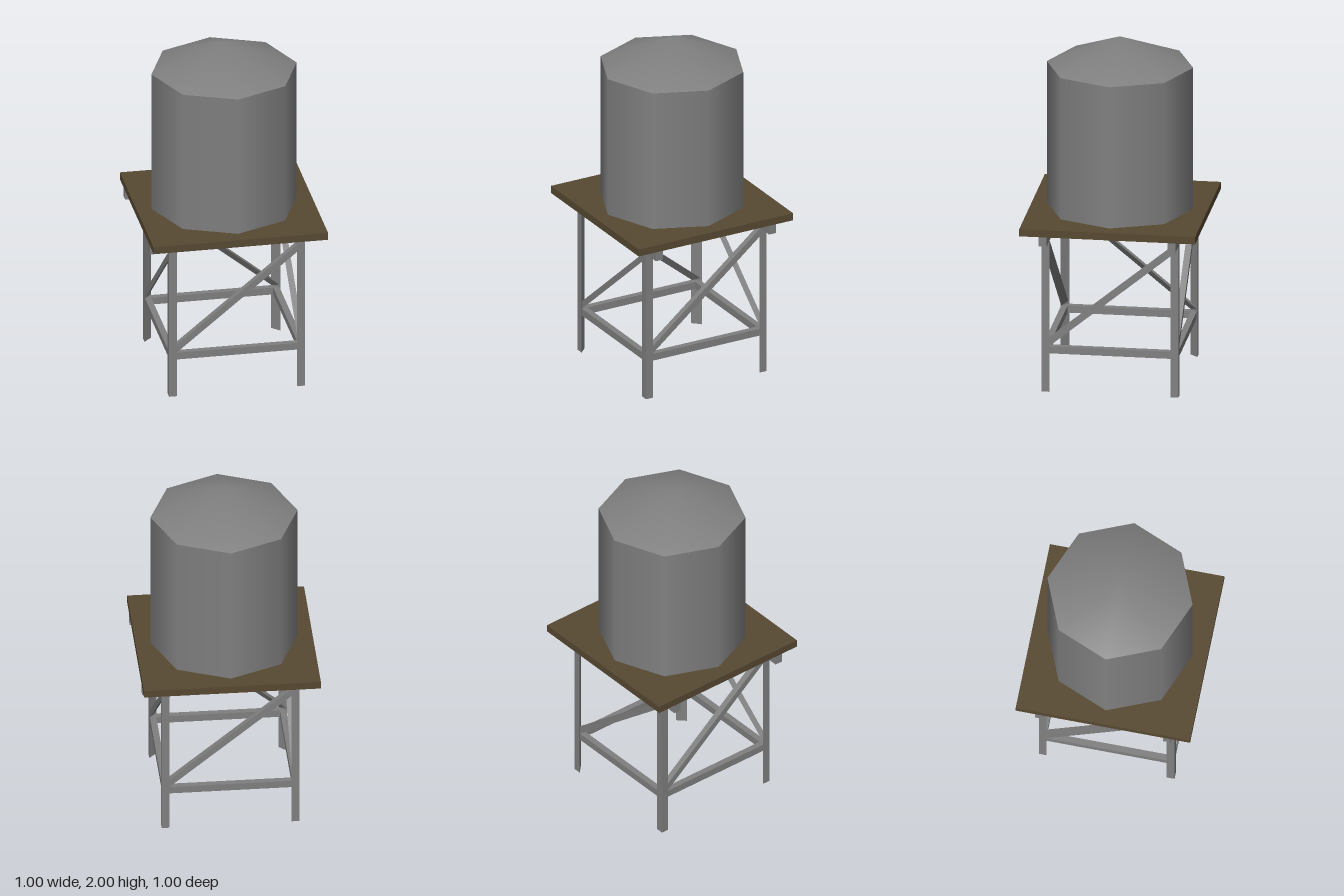
import * as THREE from 'three';
import { mergeVertices } from 'three/addons/utils/BufferGeometryUtils.js';

const steel = new THREE.MeshStandardMaterial({ color: 0x808080 });
steel.name = 'grey steel';
const wood = new THREE.MeshStandardMaterial({ color: 0x574932 });
wood.name = 'brown wood';

const OUT = 0.39;     // outer face of the legs
const LEG = 0.045;    // leg width
const DECK = 1.002;   // platform size
const THIN = 0.006;   // platform sheet thickness

function add(parent, name, geometry, material, x = 0, y = 0, z = 0) {
  const mesh = new THREE.Mesh(geometry, material);
  mesh.name = name;
  mesh.position.set(x, y, z);
  parent.add(mesh);
  return mesh;
}

// Three-sided bar along +z, square corner at the origin, sides toward +x and +y
function cornerBar(width, length) {
  const s = new THREE.Shape();
  s.moveTo(0, 0);
  s.lineTo(width, 0);
  s.lineTo(0, width);
  s.closePath();
  return new THREE.ExtrudeGeometry(s, { depth: length, bevelEnabled: false });
}

// Bar along x, centred: outer face toward +z, flat top, sloping inner face
function slopedBar(width, length) {
  const g = cornerBar(width, length);
  g.translate(0, 0, -length / 2);
  g.applyMatrix4(new THREE.Matrix4().makeBasis(
    new THREE.Vector3(0, 0, -1), new THREE.Vector3(0, -1, 0), new THREE.Vector3(-1, 0, 0)));
  g.translate(0, width / 2, 0);
  return g;
}

// Eight-sided cone shaded smoothly over the tip
function smoothCone(radius, height) {
  const g = new THREE.ConeGeometry(radius, height, 8, 1, true);
  g.deleteAttribute('normal');
  g.deleteAttribute('uv');
  const smooth = mergeVertices(g);
  smooth.computeVertexNormals();
  return smooth;
}

export function createModel() {
  const model = new THREE.Group();
  model.name = 'waterTower';

  // Octagonal tank and conical roof
  add(model, 'tank', new THREE.CylinderGeometry(0.417, 0.417, 0.838, 8, 1, true), steel, 0, 1.414, 0);
  add(model, 'roof', smoothCone(0.417, 0.167), steel, 0, 1.9165, 0);

  // Platform sheet, hollow below, on two long beams
  add(model, 'platform', new THREE.BoxGeometry(DECK, THIN, DECK), wood, 0, 0.995 - THIN / 2, 0);
  for (const side of [-1, 1]) {
    add(model, 'platformBeam', new THREE.BoxGeometry(DECK, 0.054, LEG), steel,
      0, 0.925, side * (OUT - LEG / 2));
  }

  // Four identical sides: platform rim, corner leg, level brace and one diagonal
  const rimGeometry = new THREE.BoxGeometry(DECK, 0.043, THIN);
  const legGeometry = cornerBar(LEG, 0.898);
  const levelGeometry = new THREE.BoxGeometry(2 * (OUT - 0.02), 0.042, 0.036);
  const run = 0.74, rise = 0.606;
  const diagonalGeometry = slopedBar(0.036, Math.hypot(run, rise));
  for (let i = 0; i < 4; i++) {
    const side = new THREE.Group();
    side.name = 'frameSide';
    side.rotation.y = i * Math.PI / 2;
    add(side, 'platformRim', rimGeometry, wood, 0, 0.9735, (DECK - THIN) / 2);
    const leg = add(side, 'leg', legGeometry, steel, -OUT, 0, OUT);
    leg.rotation.x = -Math.PI / 2;
    add(side, 'levelBrace', levelGeometry, steel, 0, 0.248, OUT - 0.022);
    const diagonal = add(side, 'diagonalBrace', diagonalGeometry, steel, 0, 0.577, OUT - 0.004);
    diagonal.rotation.z = Math.atan2(rise, run);
    model.add(side);
  }
  return model;
}
